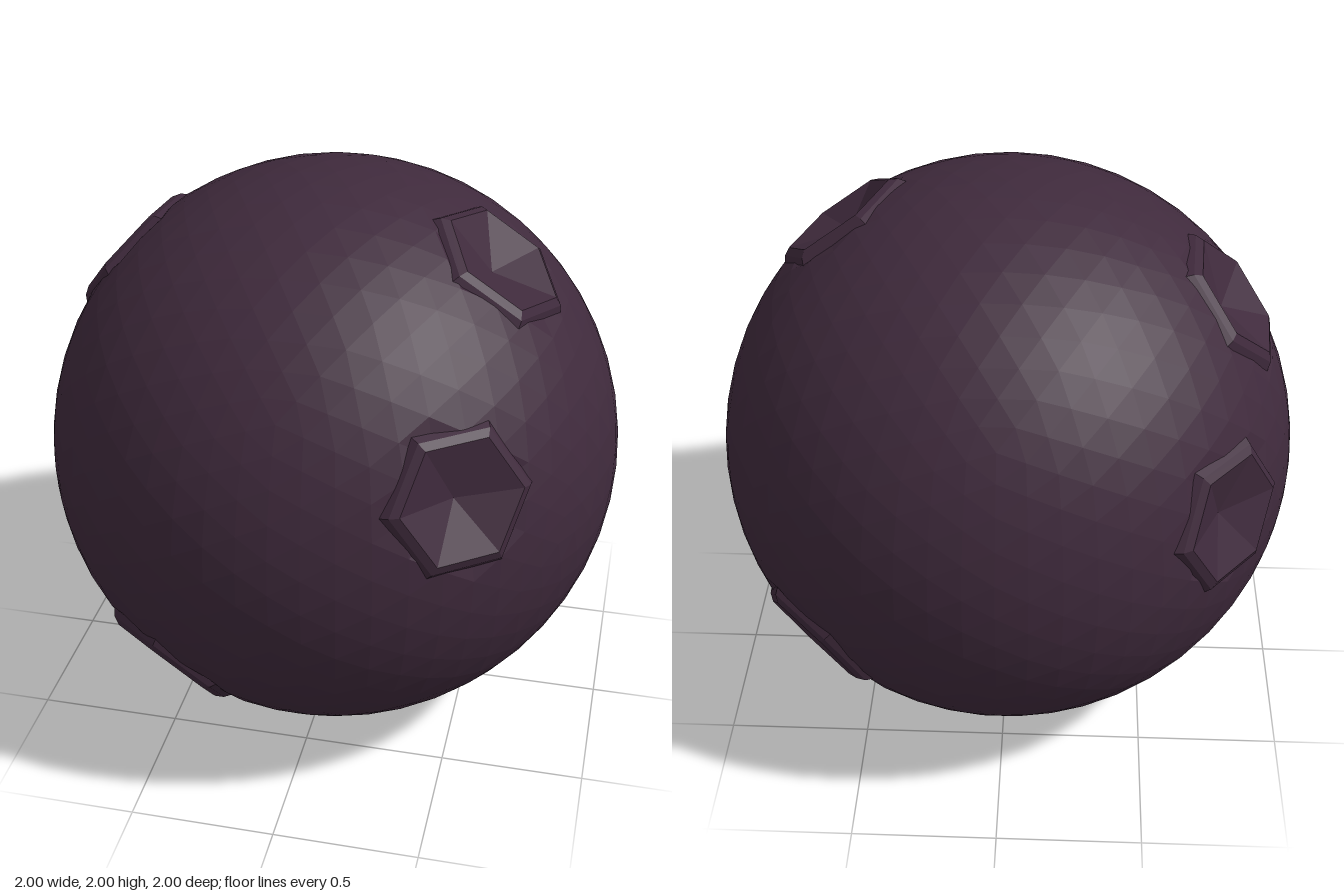
import * as THREE from 'three';

const RIM = 0.215;      // rim radius of a crater
const DEPTH = 0.065;    // depth of the bowl at its middle

// Each crater: outward direction, and the direction of one rim corner
const craters = [
  [[0.57, 0.28, 0.78], [0.81, 0, -0.59]],
  [[0.58, 0.80, 0.13], [0.185, -0.13, -0.015]],
  [[-0.46, -0.60, 0.65], [-0.19, 0.16, 0.013]],
  [[0.65, -0.47, -0.60], [-0.053, 0.134, -0.16]],
  [[-0.76, 0.64, -0.09], [0, 0, -1]],
  [[-0.75, 0.14, -0.64], [-0.67, 0.02, 0.79]],
].map(([dir, corner]) => {
  const normal = new THREE.Vector3(...dir).normalize();
  const side = new THREE.Vector3(...corner).projectOnPlane(normal).normalize();
  return { normal, side };
});

// Faceted ball, pressed in beneath every crater bowl
function makeBall(material) {
  const geometry = new THREE.IcosahedronGeometry(1, 9);
  const pos = geometry.attributes.position;
  const v = new THREE.Vector3();
  for (let i = 0; i < pos.count; i++) {
    v.fromBufferAttribute(pos, i);
    for (const { normal } of craters) {
      const height = v.dot(normal);
      if (height < 0.9) continue;
      const r = Math.sqrt(Math.max(0, v.lengthSq() - height * height));
      const limit = 1 - DEPTH * (1 - r / RIM) - 0.02;
      if (r < RIM && height > limit) v.addScaledVector(normal, limit - height);
    }
    pos.setXYZ(i, v.x, v.y, v.z);
  }
  geometry.computeVertexNormals();
  const ball = new THREE.Mesh(geometry, material);
  ball.name = 'ball';
  return ball;
}

export function createModel() {
  const model = new THREE.Group();
  model.name = 'crateredBall';
  const material = new THREE.MeshStandardMaterial({ color: 0x3f2a3c, flatShading: true });

  const body = new THREE.Group();
  body.name = 'body';
  body.position.y = 1;
  body.add(makeBall(material));

  // Six-sided crater: outer skirt, raised rim and shallow bowl
  const profile = [[0.275, 0.945], [0.245, 0.985], [RIM, 1], [0, 1 - DEPTH]]
    .map(([r, h]) => new THREE.Vector2(r, h));
  const craterGeometry = new THREE.LatheGeometry(profile, 6);

  craters.forEach(({ normal, side }, i) => {
    const crater = new THREE.Mesh(craterGeometry, material);
    crater.name = `crater${i + 1}`;
    const across = new THREE.Vector3().crossVectors(normal, side);
    crater.quaternion.setFromRotationMatrix(new THREE.Matrix4().makeBasis(across, normal, side));
    body.add(crater);
  });

  model.add(body);
  return model;
}
